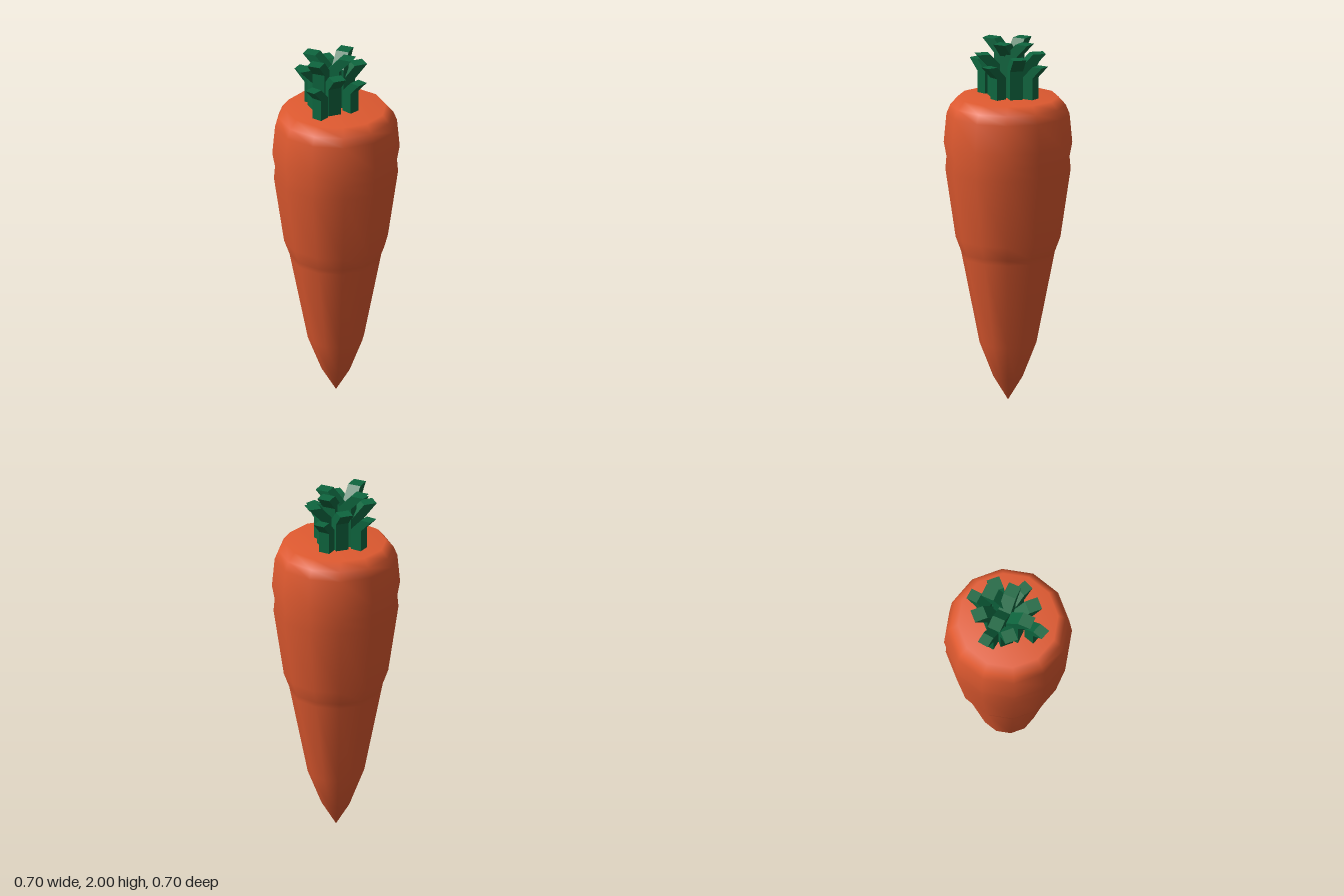
import * as THREE from 'three';

const orange = new THREE.MeshStandardMaterial({ color: 0xe05a30 });
orange.name = 'carrotOrange';
const green = new THREE.MeshStandardMaterial({ color: 0x0e663f, flatShading: true });
green.name = 'leafGreen';

// Square stalk whose tip leans outward; (x, z) is the centre of its flat top
function makeLeaf(x, z, top, width, outX, outZ) {
  const h = width / 2, base = 1.67, bend = top - width * 1.05;
  const outline = new THREE.Shape([
    [-h - width, base], [h - width, base], [h - width, bend],
    [h, top], [-h, top], [-h - width, bend],
  ].map(([a, b]) => new THREE.Vector2(a, b)));
  const geometry = new THREE.ExtrudeGeometry(outline, { depth: width, bevelEnabled: false });
  geometry.translate(0, 0, -h);
  const leaf = new THREE.Mesh(geometry, green);
  leaf.rotation.y = Math.atan2(-outZ, outX);
  leaf.position.set(x, 0, z);
  return leaf;
}

export function createModel() {
  const model = new THREE.Group();
  model.name = 'carrot';

  // Twelve-sided tapering root with shallow bulges
  const profile = [
    [0, 0], [0.08, 0.13], [0.155, 0.32], [0.25, 0.8], [0.256, 0.83],
    [0.286, 0.91], [0.342, 1.29], [0.336, 1.36], [0.351, 1.44],
    [0.336, 1.6], [0.315, 1.65], [0.275, 1.695], [0, 1.695],
  ].map(([r, y]) => new THREE.Vector2(r, y));
  const root = new THREE.Mesh(new THREE.LatheGeometry(profile, 12), orange);
  root.name = 'root';
  model.add(root);

  // Three tiers of leaves: top x, top z, outward x, outward z
  const tiers = [
    { name: 'innerLeaf', top: 2.0, width: 0.073, leaves: [
      [0.067, -0.004, 1, 0], [-0.146, -0.004, -1, 0],
      [0.007, -0.111, 0, -1], [-0.061, 0.14, 0, 1]] },
    { name: 'middleLeaf', top: 1.93, width: 0.073, leaves: [
      [-0.11, -0.124, -1, -1], [0.085, -0.115, 1, -1],
      [0.06, 0.126, 1, 1], [-0.157, 0.079, -1, 1]] },
    { name: 'outerLeaf', top: 1.88, width: 0.062, leaves: [
      [-0.007, -0.2, 0.06, -1], [-0.215, -0.037, -1, -0.11],
      [0.147, 0.032, 0.93, 0.38], [-0.045, 0.219, -0.28, 0.96]] },
  ];
  const crown = new THREE.Group();
  crown.name = 'leafCrown';
  for (const { name, top, width, leaves } of tiers) {
    leaves.forEach(([x, z, outX, outZ], i) => {
      const leaf = makeLeaf(x, z, top, width, outX, outZ);
      leaf.name = name + (i + 1);
      crown.add(leaf);
    });
  }
  model.add(crown);
  return model;
}
